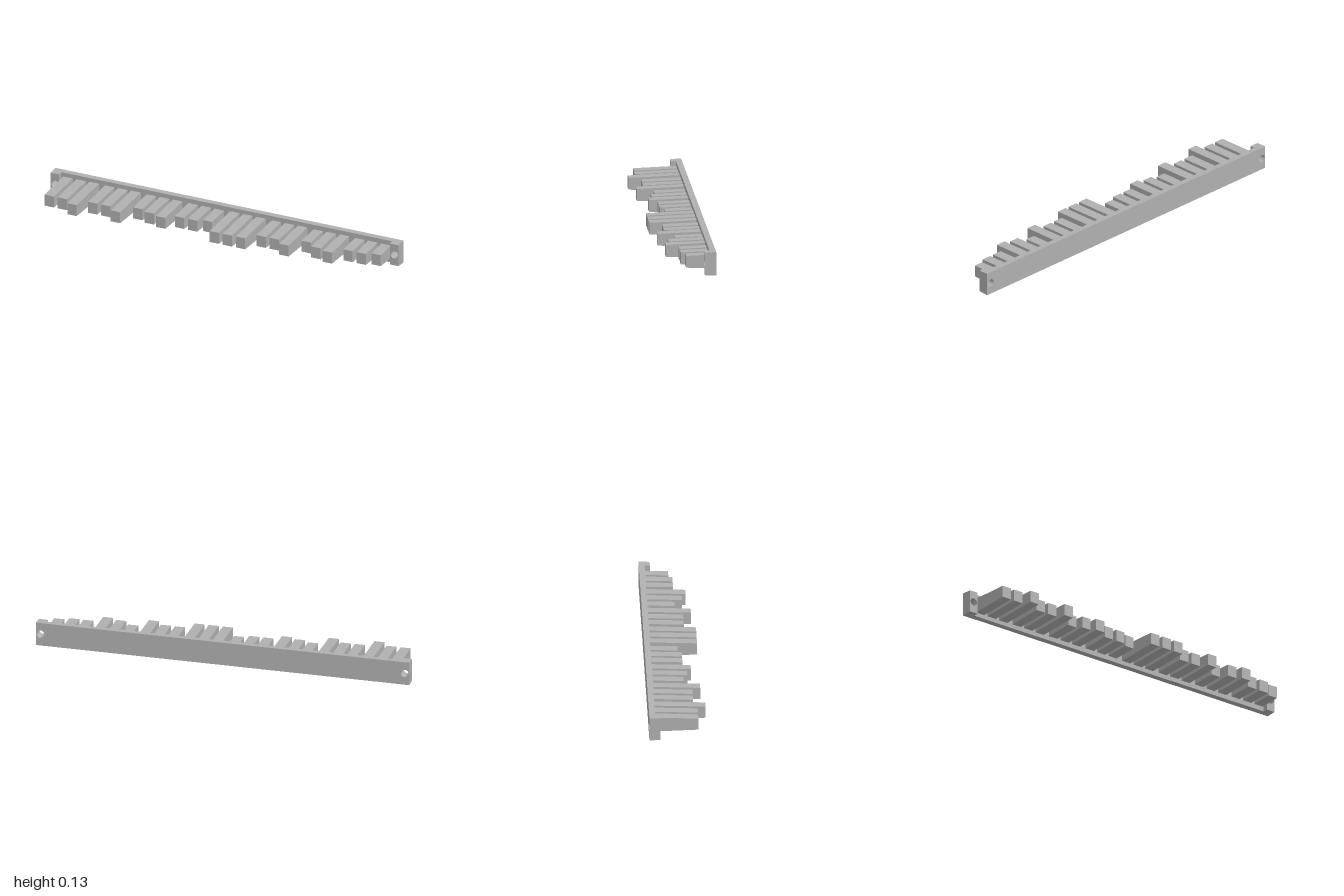
import * as THREE from 'three';
import { toCreasedNormals } from 'three/addons/utils/BufferGeometryUtils.js';

const MID = 0.063;      // height of the centre line
const BACK = -0.148;    // rear face of the bar
const PLATE = -0.117;   // front face of the bar
const PAD = -0.09;      // front face of the end blocks

// Moves the top and bottom faces so their half height follows a rule along z
function draft(geometry, halfHeight) {
  const p = geometry.attributes.position;
  for (let i = 0; i < p.count; i++) {
    const dy = p.getY(i) - MID;
    if (Math.abs(dy) > 0.03) p.setY(i, MID + Math.sign(dy) * halfHeight(p.getZ(i)));
  }
  geometry.computeVertexNormals();
  return geometry;
}

const barHalf = z => 0.063 - 0.055 * (z - BACK);

// Box from z0 to z1, centred on x and on the centre line
function boxBetween(x, width, z0, z1) {
  return new THREE.BoxGeometry(width, 0.126, z1 - z0).translate(x, MID, (z0 + z1) / 2);
}

export function createModel() {
  const grey = new THREE.MeshStandardMaterial({ color: 0xb0b0b0 });
  grey.name = 'grey';
  const model = new THREE.Group();
  model.name = 'toothedBar';
  const add = (name, geometry) => {
    const mesh = new THREE.Mesh(geometry, grey);
    mesh.name = name;
    model.add(mesh);
  };

  // Long backing bar
  add('bar', draft(boxBetween(0, 1.9, BACK, PLATE), barHalf));

  // Thicker end blocks, each with a screw hole right through
  for (const side of [-1, 1]) {
    const shape = new THREE.Shape();
    shape.moveTo(-0.025, -0.063).lineTo(0.025, -0.063).lineTo(0.025, 0.063).lineTo(-0.025, 0.063).closePath();
    const hole = new THREE.Path();
    hole.absarc(0, 0, 0.021, 0, Math.PI * 2, true);
    shape.holes.push(hole);
    const block = new THREE.ExtrudeGeometry(shape, { depth: PAD - BACK, bevelEnabled: false, curveSegments: 24 });
    block.translate(side * 0.975, MID, BACK);
    add(side > 0 ? 'leftEndBlock' : 'rightEndBlock', toCreasedNormals(draft(block, barHalf), 0.6));
  }

  // Teeth in eight groups of three; each digit is a length step
  const steps = [[5, 5, 7], [4, 4, 6], [2, 3, 4], [2, 2, 1], [6, 6, 6], [3, 3, 5], [1, 3, 4], [1, 1, 0]];
  steps.forEach((group, g) => group.forEach((step, i) => {
    const tip = 0.0035 + 0.0207 * step;
    const x = -0.912 + 0.2395 * g + 0.0755 * i;
    add(`tooth${g * 3 + i + 1}`, draft(boxBetween(x, 0.054, PLATE, tip), z => 0.0313 + 0.034 * (tip - z)));
  }));

  return model;
}
